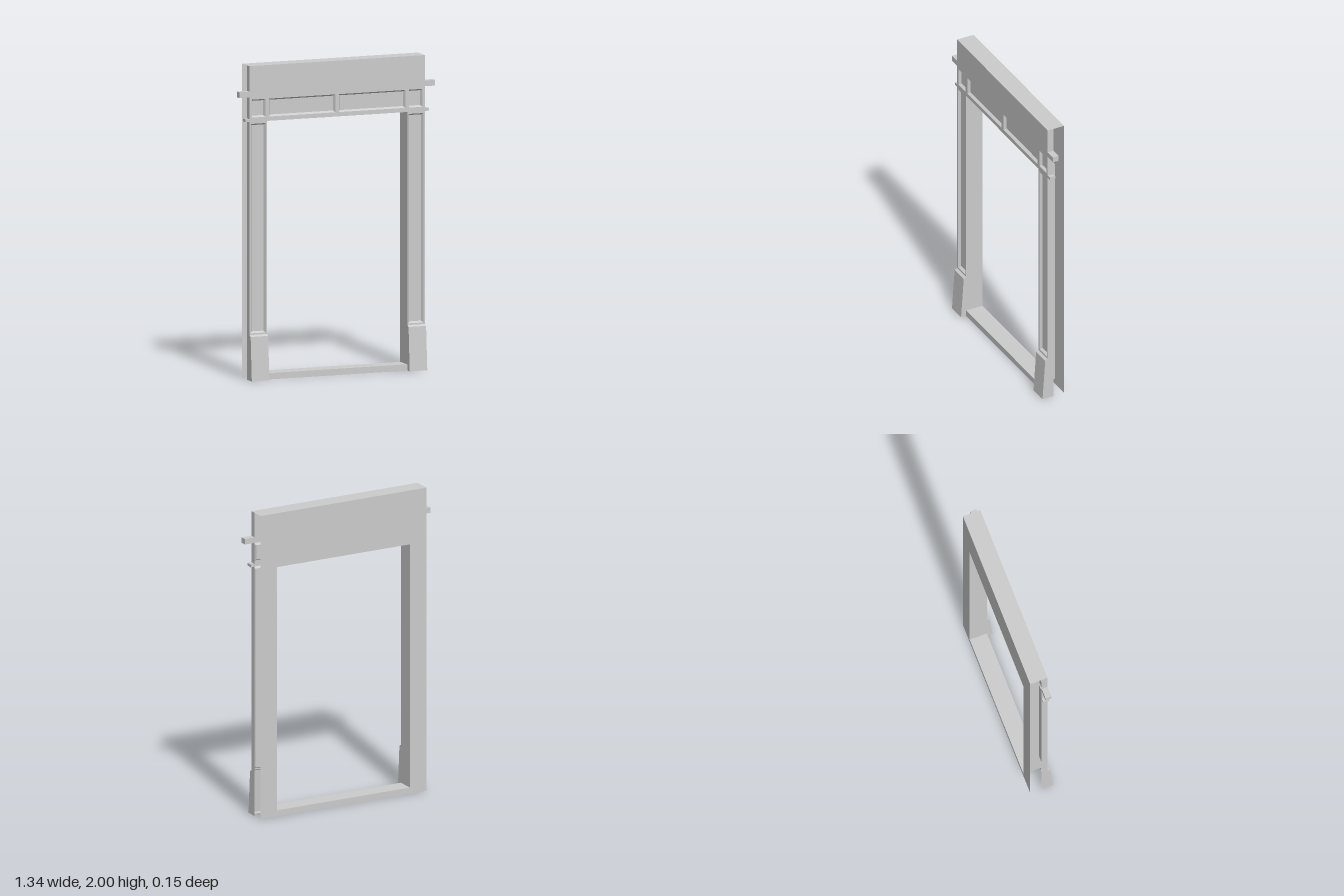
import * as THREE from 'three';

const material = new THREE.MeshStandardMaterial({ color: 0xcccccc, side: THREE.DoubleSide, flatShading: true });

// Main dimensions
const W = 0.6, IN = 0.48, H = 2, HEAD = 1.645, SILL = 0.04;
const BACK = -0.077, FACE = 0.04, TOE = 0.077;
const PLINTH = 0.29, LEDGE = 0.28;

function addMesh(group, name, geometry) {
  const mesh = new THREE.Mesh(geometry, material);
  mesh.name = name;
  group.add(mesh);
  return mesh;
}

// Sheet built from four-cornered faces, corners counter-clockwise
function quads(list) {
  const p = [];
  for (const [a, b, c, d] of list) p.push(...a, ...b, ...c, ...a, ...c, ...d);
  const g = new THREE.BufferGeometry();
  g.setAttribute('position', new THREE.Float32BufferAttribute(p, 3));
  g.computeVertexNormals();
  return g;
}

function rect(x0, y0, x1, y1, z) {
  return [[x0, y0, z], [x1, y0, z], [x1, y1, z], [x0, y1, z]];
}

function pathOf(points, Type = THREE.Path) {
  return new Type(points.map(([x, y]) => new THREE.Vector2(x, y)));
}

// Quads joining two rings of four corners
function band(a, b) {
  return a.map((_, i) => {
    const j = (i + 1) % 4;
    return [a[i], a[j], b[j], b[i]];
  });
}

export function createModel() {
  const model = new THREE.Group();
  model.name = 'doorSurround';

  // Panel openings for one half, mirrored to the other
  const half = [
    ['pilasterPanel', 0.488, 0.3, 0.59, 1.632],
    ['cornerPanel', 0.49, 1.672, 0.584, 1.786],
    ['friezePanel', 0.012, 1.672, 0.466, 1.786],
  ];
  const panels = half.flatMap(([n, x0, y0, x1, y1]) => [[n, x0, y0, x1, y1], [n, -x1, y0, -x0, y1]]);

  // Front face: pilasters and header in one sheet, pierced for the panels
  const face = pathOf([
    [-W, PLINTH], [-IN, PLINTH], [-IN, HEAD], [IN, HEAD],
    [IN, PLINTH], [W, PLINTH], [W, H], [-W, H],
  ], THREE.Shape);
  for (const [, x0, y0, x1, y1] of panels) {
    face.holes.push(pathOf([[x0, y0], [x0, y1], [x1, y1], [x1, y0]]));
  }
  addMesh(model, 'frontFace', new THREE.ShapeGeometry(face)).position.z = FACE;

  // Recessed panels with bevelled borders
  for (const [name, x0, y0, x1, y1] of panels) {
    const e = 0.01;
    const outer = rect(x0, y0, x1, y1, FACE);
    const inner = rect(x0 + e, y0 + e, x1 - e, y1 - e, FACE - 0.018);
    addMesh(model, name, quads([...band(outer, inner), inner]));
  }

  // Back sheet with the doorway cut out
  const back = pathOf([[-W, 0], [W, 0], [W, H], [-W, H]], THREE.Shape);
  back.holes.push(pathOf([[-IN, SILL], [-IN, HEAD], [IN, HEAD], [IN, SILL]]));
  addMesh(model, 'backFace', new THREE.ShapeGeometry(back)).position.z = BACK;

  // Lining through the doorway: jambs, head and sill
  addMesh(model, 'doorwayLining', quads(band(rect(-IN, SILL, IN, HEAD, FACE), rect(-IN, SILL, IN, HEAD, BACK))));
  addMesh(model, 'sillFront', quads([rect(-IN, 0, IN, SILL, FACE)]));

  // Top cap
  addMesh(model, 'topCap', quads([[[-W, H, FACE], [W, H, FACE], [W, H, BACK], [-W, H, BACK]]]));

  for (const s of [-1, 1]) {
    const side = s > 0 ? 'left' : 'right';

    // Shallow return along the outer edge, open behind
    const edge = [[s * W, 0, FACE], [s * W, 0, 0], [s * W, H, 0], [s * W, H, FACE]];
    addMesh(model, side + 'Return', quads([s > 0 ? edge : edge.reverse()]));

    // Battered plinth block: front, ledge, underside and cheeks
    const x0 = s > 0 ? IN : -W, x1 = s > 0 ? W : -IN;
    const profile = [[0, FACE], [0, TOE], [LEDGE, 0.058], [PLINTH, FACE]];
    const at = (x) => profile.map(([y, z]) => [x, y, z]);
    const a = at(x0), b = at(x1);
    const faces = [0, 1, 2].map((i) => [a[i], b[i], b[i + 1], a[i + 1]]);
    addMesh(model, side + 'Plinth', quads([...faces, a, b.slice().reverse()]));

    // Moulding ends projecting past the sides
    for (const [name, length, y0, y1] of [['CorniceEnd', 0.07, 1.802, 1.838], ['ArchitraveEnd', 0.027, 1.645, 1.663]]) {
      const bar = addMesh(model, side + name, new THREE.BoxGeometry(length, y1 - y0, FACE));
      bar.position.set(s * (W + length / 2), (y0 + y1) / 2, FACE / 2);
    }
  }
  return model;
}
